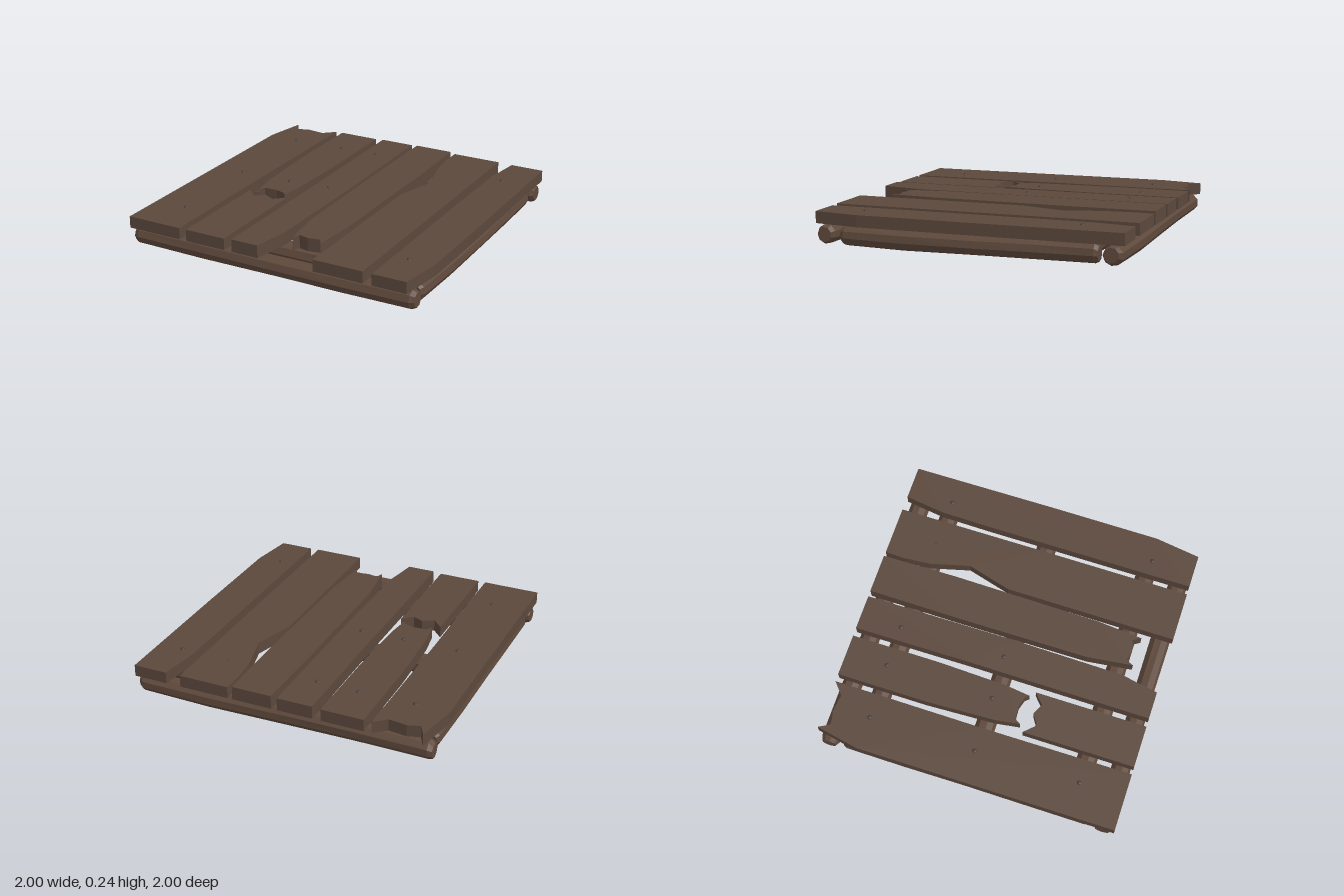
import * as THREE from 'three';

const wood = new THREE.MeshStandardMaterial({ color: 0x5b483c });
wood.name = 'plankWood';
const bark = new THREE.MeshStandardMaterial({ color: 0x5f493c, flatShading: true });
bark.name = 'logWood';
const iron = new THREE.MeshStandardMaterial({ color: 0x4a413d });
iron.name = 'nailIron';

// Plank outline as [x, z] points, raised from y = 0.145 to the given top
function plank(name, points, top) {
  const shape = new THREE.Shape(points.map(([x, z]) => new THREE.Vector2(x, -z)));
  const geo = new THREE.ExtrudeGeometry(shape, { depth: top - 0.145, bevelEnabled: false });
  geo.rotateX(-Math.PI / 2);
  geo.translate(0, 0.145, 0);
  const mesh = new THREE.Mesh(geo, wood);
  mesh.name = name;
  return mesh;
}

// Rough eight-sided log with worn ends, slightly uneven along its length
function log(name, length, radius, x, y, z, alongZ, seed) {
  const rings = [[-0.5, 0.72], [-0.485, 0.95], [-0.25, 1], [0, 0.98], [0.25, 1], [0.485, 0.95], [0.5, 0.72]];
  const geo = new THREE.CylinderGeometry(radius, radius, length, 9, rings.length - 1);
  const p = geo.attributes.position;
  for (let i = 0; i < p.count; i++) {
    const ring = Math.round((p.getY(i) / length + 0.5) * (rings.length - 1));
    const [t, s] = rings[ring];
    const a = Math.atan2(p.getZ(i), p.getX(i));
    const wobble = 1 + 0.025 * Math.sin(2 * a + ring * 1.7 + seed);
    const bend = 0.004 * Math.sin(ring * 1.3 + seed);
    p.setXYZ(i, p.getX(i) * s * wobble + bend, t * length, p.getZ(i) * s * wobble + bend);
  }
  if (alongZ) geo.rotateX(Math.PI / 2);
  else geo.rotateZ(Math.PI / 2);
  geo.computeVertexNormals();
  const mesh = new THREE.Mesh(geo, bark);
  mesh.name = name;
  mesh.position.set(x, y, z);
  return mesh;
}

export function createModel() {
  const model = new THREE.Group();
  model.name = 'woodenPlatform';

  // Frame logs
  model.add(
    log('frontLog', 1.98, 0.066, 0, 0.08, 0.92, false, 1),
    log('backLog', 1.98, 0.066, 0, 0.08, -0.92, false, 2.5),
    log('leftSideLog', 1.66, 0.066, 0.92, 0.076, 0, true, 3),
    log('rightSideLog', 1.66, 0.066, -0.92, 0.076, 0, true, 4.2),
  );
  // Cross logs under the planks
  [-0.71, 0, 0.695].forEach((z, i) =>
    model.add(log('crossLog' + (i + 1), 1.79, 0.068, 0, 0.074, z, false, i * 2)));

  // Planks with chipped and broken ends
  model.add(
    plank('plank1', [[-1, 1], [-1, -0.72], [-0.945, -1], [-0.9, -0.92], [-0.82, -0.945],
      [-0.7, -0.93], [-0.62, -1], [-0.625, 0], [-0.62, 1]], 0.222),
    plank('plank2Back', [[-0.57, -1], [-0.29, -1], [-0.29, -0.4], [-0.305, 0.06], [-0.325, 0.225],
      [-0.345, 0.2], [-0.41, 0.18], [-0.5, 0.185], [-0.525, 0.225], [-0.55, 0.06], [-0.57, -0.4]], 0.224),
    plank('plank2Front', [[-0.57, 0.257], [-0.5, 0.33], [-0.43, 0.285], [-0.36, 0.32],
      [-0.29, 0.257], [-0.29, 1], [-0.57, 1]], 0.222),
    plank('plank3', [[-0.235, -1], [0, -1], [0.005, 0], [-0.005, 0.75], [-0.05, 1], [-0.235, 1], [-0.23, -0.2]], 0.229),
    plank('plank4', [[0.04, -1], [0.305, -1], [0.312, -0.5], [0.3, 0.5], [0.275, 0.8], [0.245, 0.75],
      [0.165, 0.765], [0.1, 0.75], [0.078, 0.8], [0.04, 0.5], [0.035, -0.4]], 0.233),
    plank('plank5', [[0.338, -1], [0.67, -1], [0.672, 0], [0.67, 1], [0.335, 1], [0.338, -0.14],
      [0.418, -0.43], [0.35, -0.69], [0.335, -0.87]], 0.223),
    plank('plank6', [[0.77, -1], [0.995, -1], [1, 0], [0.998, 0.7], [0.955, 1], [0.73, 1],
      [0.73, -0.4], [0.735, -0.74]], 0.221),
  );

  // Domed nail heads
  const dome = new THREE.SphereGeometry(0.016, 10, 4, 0, Math.PI * 2, 0, Math.PI / 2);
  dome.scale(1, 0.6, 1);
  const nails = [[-0.78, -0.705, 0.222], [-0.785, 0.005, 0.222], [-0.775, 0.7, 0.222],
    [-0.415, -0.72, 0.224], [-0.415, 0, 0.224], [-0.14, -0.72, 0.229], [-0.125, -0.015, 0.229],
    [0.5, -0.7, 0.215], [0.825, -0.695, 0.221], [0.83, 0.715, 0.221]];
  nails.forEach(([x, z, y]) => {
    const nail = new THREE.Mesh(dome, iron);
    nail.name = 'nail';
    nail.position.set(x, y, z);
    model.add(nail);
  });
  return model;
}
